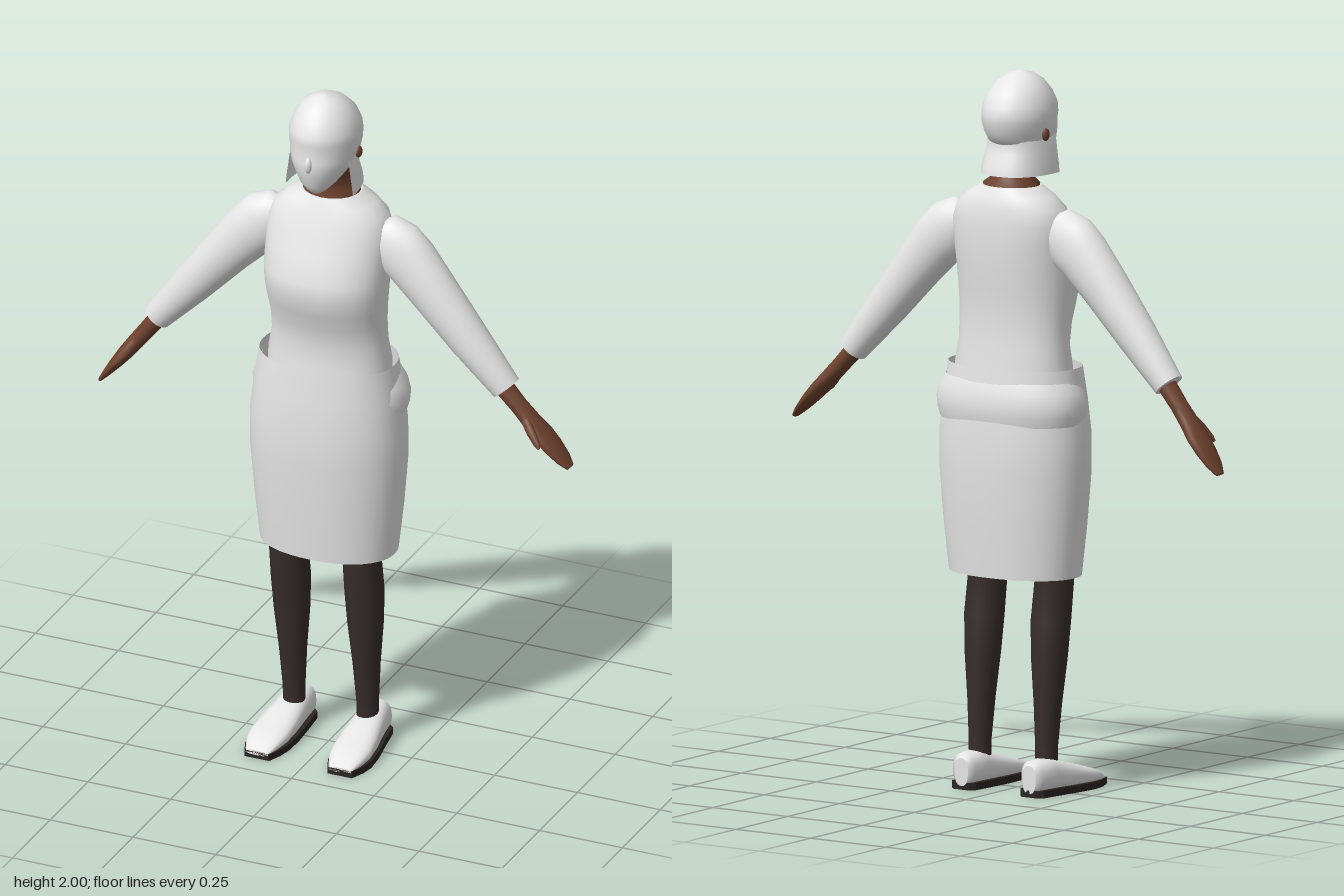
import * as THREE from 'three';

const mat = (name, color, side = THREE.FrontSide) => {
  const m = new THREE.MeshStandardMaterial({ color, side });
  m.name = name;
  return m;
};
const V = (x, y, z) => new THREE.Vector3(x, y, z);

// Skin a surface over rings {c, u, v}; p > 2 squares the section off
function loft(rings, { n = 32, start = 0, end = Math.PI * 2, caps = true, p = 2 } = {}) {
  const pos = [], idx = [];
  const closed = end - start > 6.28;
  const cols = closed ? n : n + 1;
  const bend = t => Math.sign(t) * Math.abs(t) ** (2 / p);
  const at = (r, j) => {
    const a = start + (end - start) * j / n;
    return r.c.clone().addScaledVector(r.u, bend(Math.cos(a))).addScaledVector(r.v, bend(Math.sin(a)));
  };
  rings.forEach(r => { for (let j = 0; j < cols; j++) pos.push(...at(r, j).toArray()); });
  for (let i = 0; i < rings.length - 1; i++) {
    for (let j = 0; j < n; j++) {
      const a = i * cols + j, b = i * cols + (j + 1) % cols;
      idx.push(a, b, a + cols, b, b + cols, a + cols);
    }
  }
  if (caps && closed) {
    [rings[0], rings[rings.length - 1]].forEach((r, k) => {
      const o = pos.length / 3;
      pos.push(...r.c.toArray());
      for (let j = 0; j < n; j++) pos.push(...at(r, j).toArray());
      for (let j = 0; j < n; j++) {
        const a = o + 1 + j, b = o + 1 + (j + 1) % n;
        if (k) idx.push(o, a, b); else idx.push(o, b, a);
      }
    });
  }
  const g = new THREE.BufferGeometry();
  g.setAttribute('position', new THREE.Float32BufferAttribute(pos, 3));
  g.setIndex(idx);
  g.computeVertexNormals();
  return g;
}

// Level rings from rows [y, half width, front z, back z, x], lowest first
const level = rows => rows.map(([y, w, f, b, x = 0]) => ({
  c: V(x, y, (f + b) / 2), u: V(0, 0, (f - b) / 2), v: V(w, 0, 0),
}));

// Rings square to a limb path, rows [x, y, z, half depth in z, half thickness]
const limb = rows => rows.map(([x, y, z, d, t], i) => {
  const a = rows[Math.max(i - 1, 0)], b = rows[Math.min(i + 1, rows.length - 1)];
  const dir = V(b[0] - a[0], b[1] - a[1], 0).normalize();
  return { c: V(x, y, z), u: V(0, 0, d), v: dir.cross(V(0, 0, 1)).multiplyScalar(t) };
});

export function createModel() {
  const white = mat('white cloth', 0xe6e6e6);
  const whiteOpen = mat('white open cloth', 0xe6e6e6, THREE.DoubleSide);
  const skin = mat('brown skin', 0x6e422e);
  const tights = mat('dark tights', 0x372d2d);
  const soleMat = mat('dark sole', 0x2c2424);

  const model = new THREE.Group();
  const body = new THREE.Group();
  body.name = 'figure';
  body.position.x = -0.011;
  model.add(body);
  const add = (name, geo, m) => {
    const mesh = new THREE.Mesh(geo, m);
    mesh.name = name;
    body.add(mesh);
    return mesh;
  };

  // Blouse
  add('blouse', loft(level([
    [1.1, 0.18, 0.085, -0.15], [1.19, 0.178, 0.075, -0.143], [1.25, 0.167, 0.072, -0.137],
    [1.31, 0.167, 0.085, -0.135], [1.36, 0.171, 0.105, -0.137], [1.41, 0.176, 0.12, -0.141],
    [1.46, 0.179, 0.12, -0.146], [1.53, 0.181, 0.094, -0.15], [1.59, 0.181, 0.072, -0.15],
    [1.635, 0.165, 0.055, -0.145], [1.665, 0.13, 0.042, -0.135], [1.69, 0.085, 0.03, -0.122],
  ]), { n: 40, p: 2.2 }), white);

  // Skirt, open at hem and waist
  add('skirt', loft(level([
    [0.606, 0.198, 0.104, -0.158], [0.75, 0.214, 0.116, -0.17], [0.9, 0.226, 0.126, -0.179],
    [1.0, 0.225, 0.128, -0.179], [1.1, 0.213, 0.121, -0.173], [1.19, 0.198, 0.112, -0.164],
  ]), { n: 48, caps: false, p: 2.2 }), whiteOpen);

  // Soft fold round hips and back, sinking into the skirt towards the front
  add('hipFold', loft(level([
    [1.035, 0.218, 0.09, -0.174], [1.06, 0.225, 0.095, -0.18], [1.09, 0.228, 0.095, -0.182],
    [1.125, 0.219, 0.09, -0.177], [1.155, 0.2, 0.08, -0.166],
  ]), { n: 48, caps: false, p: 2.2 }), whiteOpen);

  // Neck and jaw
  add('neck', loft(level([
    [1.66, 0.08, 0.028, -0.118], [1.695, 0.082, 0.026, -0.116], [1.71, 0.06, 0.018, -0.1],
    [1.75, 0.058, 0.025, -0.09], [1.79, 0.07, 0.05, -0.08], [1.83, 0.075, 0.05, -0.08],
  ])), skin);

  // Head with brow, cheeks and pointed chin
  add('head', loft(level([
    [1.722, 0.013, 0.07, 0.04], [1.735, 0.03, 0.085, 0.025], [1.755, 0.05, 0.1, -0.02],
    [1.785, 0.072, 0.107, -0.07], [1.81, 0.085, 0.115, -0.1], [1.835, 0.093, 0.114, -0.115],
    [1.865, 0.098, 0.109, -0.124], [1.885, 0.099, 0.114, -0.125], [1.91, 0.097, 0.112, -0.12],
    [1.945, 0.085, 0.093, -0.1], [1.975, 0.062, 0.067, -0.068], [1.993, 0.035, 0.038, -0.034],
    [2.0, 0.006, 0.012, 0],
  ])), white);
  const nose = add('nose', new THREE.SphereGeometry(1, 12, 8), white);
  nose.scale.set(0.011, 0.024, 0.014);
  nose.position.set(0, 1.828, 0.111);

  // Hair below the skull, open at the face
  add('hair', loft(level([
    [1.72, 0.101, 0.04, -0.12], [1.745, 0.099, 0.04, -0.115], [1.78, 0.094, 0.04, -0.1],
    [1.81, 0.09, 0.04, -0.092], [1.835, 0.084, 0.05, -0.088],
  ]).map(r => ({ ...r, c: r.c.setZ(0.04), u: V(0, 0, r.u.z * 2) })),
  { start: Math.PI / 2, end: Math.PI * 1.5, p: 2.6 }), whiteOpen);

  // Sole outline rows [z, inner x, outer x]
  const soleRows = [
    [-0.125, 0.088, 0.138], [-0.11, 0.074, 0.154], [-0.05, 0.068, 0.164], [0.04, 0.062, 0.18],
    [0.1, 0.064, 0.185], [0.14, 0.072, 0.178], [0.18, 0.088, 0.162],
  ];
  // Shoe height over the same rows
  const shoeTop = [0.088, 0.1, 0.103, 0.077, 0.06, 0.048, 0.024];

  for (const s of [1, -1]) {
    const side = s > 0 ? 'left' : 'right';

    // Sleeve
    add(side + 'Sleeve', loft(limb([
      [0.15, 1.56, -0.045, 0.045, 0.058], [0.17, 1.562, -0.045, 0.056, 0.077],
      [0.2, 1.547, -0.045, 0.061, 0.084], [0.24, 1.512, -0.044, 0.063, 0.08],
      [0.31, 1.433, -0.042, 0.062, 0.07], [0.417, 1.307, -0.042, 0.055, 0.058],
      [0.526, 1.18, -0.046, 0.043, 0.042],
    ].map(([x, ...r]) => [s * x, ...r]))), white);

    // Hand, with mitten fingers and a thumb
    const [tx, ty] = s > 0 ? [0.719, 0.975] : [0.697, 0.948];
    const along = (t, z, d, h) =>
      [s * THREE.MathUtils.lerp(0.515, tx, t), THREE.MathUtils.lerp(1.185, ty, t), z, d, h];
    add(side + 'Hand', loft(limb([
      along(0, -0.046, 0.03, 0.026), along(0.25, -0.045, 0.027, 0.024),
      along(0.42, -0.045, 0.033, 0.023), along(0.6, -0.046, 0.045, 0.021),
      along(0.75, -0.047, 0.043, 0.017), along(0.9, -0.047, 0.034, 0.011),
      along(1, -0.047, 0.018, 0.006),
    ]), { n: 16 }), skin);
    add(side + 'Thumb', loft(limb([
      along(0.34, -0.03, 0.012, 0.014), along(0.5, -0.008, 0.013, 0.014),
      along(0.62, 0.007, 0.009, 0.01), along(0.67, 0.014, 0.003, 0.004),
    ]), { n: 10 }), skin);

    // Leg
    add(side + 'Leg', loft(level([
      [0.07, 0.031, -0.005, -0.07], [0.13, 0.031, -0.004, -0.07], [0.25, 0.038, 0.012, -0.073],
      [0.38, 0.05, 0.03, -0.077], [0.48, 0.055, 0.042, -0.074], [0.6, 0.053, 0.06, -0.056],
      [0.8, 0.072, 0.07, -0.09], [1.0, 0.09, 0.075, -0.12],
    ].map(r => [...r, s * 0.111])), { n: 24 }), tights);

    // Shoe upper
    add(side + 'Shoe', loft(soleRows.map(([z, a, b], i) => ({
      c: V(s * (a + b) / 2, (shoeTop[i] + 0.01) / 2, z),
      u: V((b - a) / 2 - 0.003, 0, 0), v: V(0, (shoeTop[i] - 0.01) / 2, 0),
    })), { n: 24, p: 2.5 }), white);

    // Sole
    const outline = [...soleRows.map(([z, a]) => [a, z]), ...soleRows.map(([z, , b]) => [b, z]).reverse()];
    const sole = new THREE.ExtrudeGeometry(
      new THREE.Shape(outline.map(([x, z]) => new THREE.Vector2(s * x, -z))),
      { depth: 0.02, bevelEnabled: false });
    sole.rotateX(-Math.PI / 2);
    add(side + 'Sole', sole, soleMat);

    // Ear
    const ear = add(side + 'Ear', new THREE.SphereGeometry(1, 12, 8), skin);
    ear.scale.set(0.009, 0.018, 0.014);
    ear.position.set(s * 0.094, 1.832, -0.016);
  }
  return model;
}
